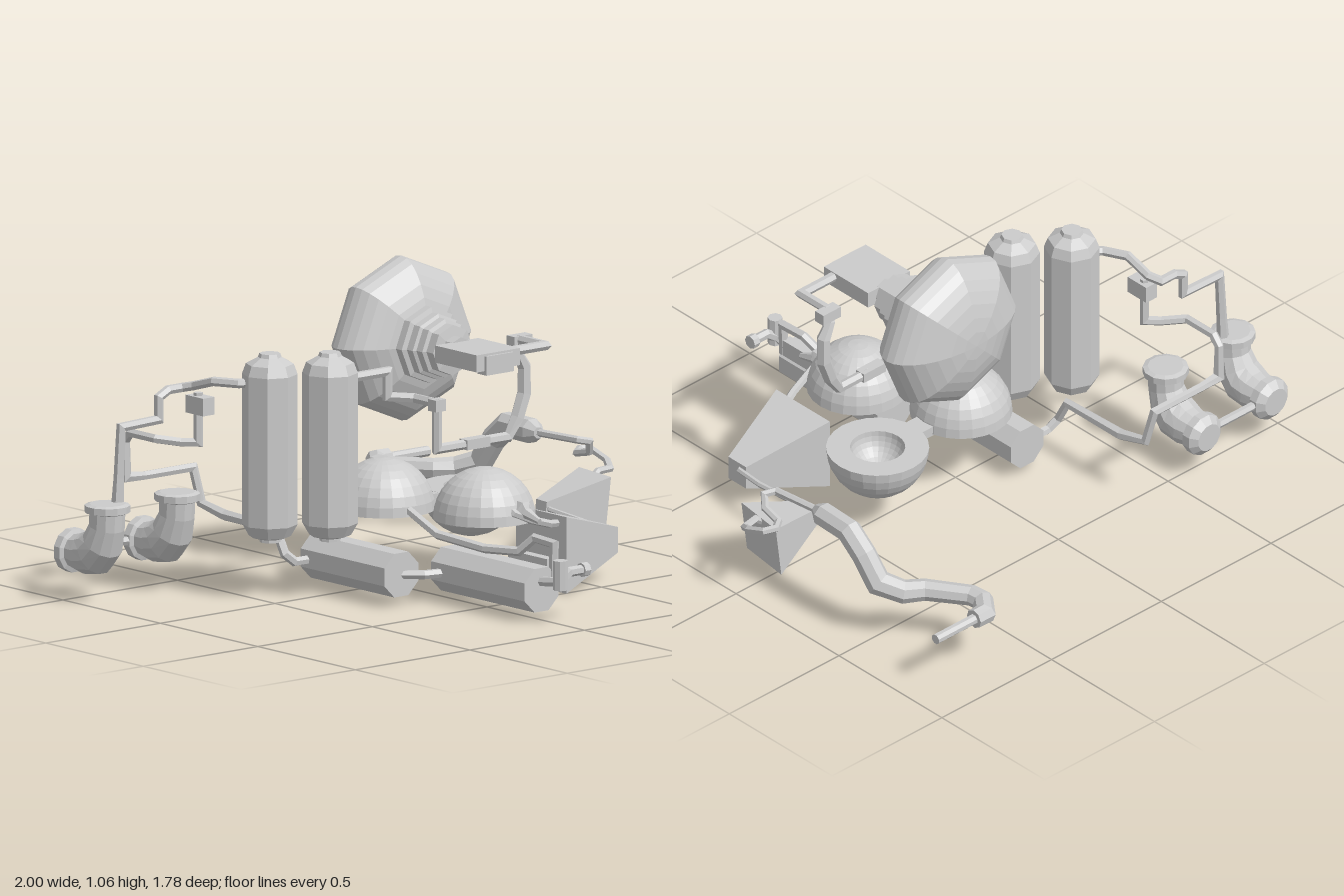
import * as THREE from 'three';

const material = new THREE.MeshStandardMaterial({ color: 0xcccccc, flatShading: true });

export function createModel() {
  const model = new THREE.Group();

  function add(name, geometry, x = 0, y = 0, z = 0) {
    const mesh = new THREE.Mesh(geometry, material);
    mesh.name = name;
    mesh.position.set(x, y, z);
    model.add(mesh);
    return mesh;
  }
  const box = (name, w, h, d, x, y, z) => add(name, new THREE.BoxGeometry(w, h, d), x, y, z);
  const lathe = (points, sides) =>
    new THREE.LatheGeometry(points.map(([r, y]) => new THREE.Vector2(r, y)), sides);

  // Mitred tube through [x, y, z, optional radius] points
  function pipe(name, points, radius = 0.016, sides = 6) {
    const p = points.map(a => new THREE.Vector3(a[0], a[1], a[2]));
    const position = [], index = [], n = p.length;
    const dirs = p.slice(1).map((q, i) => q.clone().sub(p[i]).normalize());
    let u = new THREE.Vector3(0, 1, 0);
    if (Math.abs(dirs[0].y) > 0.8) u.set(1, 0, 0);
    u.addScaledVector(dirs[0], -u.dot(dirs[0])).normalize();
    for (let i = 0; i < n; i++) {
      const d = dirs[Math.max(i - 1, 0)], next = dirs[Math.min(i, n - 2)];
      const t = d.clone().add(next).normalize();
      const v = d.clone().cross(u);
      const r = points[i][3] ?? radius;
      for (let k = 0; k < sides; k++) {
        const a = (k + 0.5) / sides * Math.PI * 2;
        const o = u.clone().multiplyScalar(Math.cos(a) * r).addScaledVector(v, Math.sin(a) * r);
        o.addScaledVector(d, -o.dot(t) / d.dot(t)).add(p[i]);
        position.push(o.x, o.y, o.z);
        const l = (k + 1) % sides, A = i * sides + k, B = i * sides + l;
        if (i < n - 1) index.push(A, B, B + sides, A, B + sides, A + sides);
        if (i === 0) index.push(n * sides, B, A);
        if (i === n - 1) index.push(n * sides + 1, A, B);
      }
      u.applyQuaternion(new THREE.Quaternion().setFromUnitVectors(d, next));
    }
    position.push(...p[0].toArray(), ...p[n - 1].toArray());
    const g = new THREE.BufferGeometry();
    g.setAttribute('position', new THREE.Float32BufferAttribute(position, 3));
    g.setIndex(index);
    g.computeVertexNormals();
    return add(name, g);
  }

  // Faceted balloon chamber with stepped neck, axis along z
  const oval = [];
  for (let i = 0; i <= 16; i++) {
    const a = -Math.PI / 2 + i / 16 * Math.PI;
    oval.push([Math.max(0.28 * Math.cos(a), 0), 0.142 * Math.sin(a)]);
  }
  add('balloonChamber', lathe(oval, 8), 0.2, 0.78, -0.175).rotation.x = Math.PI / 2;
  add('steppedNeck', lathe([[0.13, -0.08], [0.13, -0.02], [0.112, -0.015], [0.112, 0.015],
    [0.1, 0.02], [0.1, 0.05], [0.086, 0.055], [0.086, 0.09], [0.05, 0.095], [0.05, 0.13], [0, 0.13]], 8),
    0.2, 0.78, 0).rotation.x = Math.PI / 2;

  // Control box in front of the neck
  box('controlBox', 0.19, 0.058, 0.215, 0.19, 0.786, 0.228);
  box('controlBoxLatch', 0.12, 0.065, 0.045, 0.19, 0.775, 0.322);

  // Two upright tanks
  for (const [x, z] of [[-0.45, -0.085], [-0.285, 0.03]]) {
    add('tank', lathe([[0, 0.19], [0.035, 0.19], [0.035, 0.2], [0.07, 0.21], [0.093, 0.25], [0.093, 0.76],
      [0.08, 0.795], [0.04, 0.817], [0.035, 0.83], [0, 0.83]], 8), x, 0, z);
  }

  // Pipe from tank to the supporting loop and round to the box
  pipe('loopPipe', [[-0.22, 0.73, 0.03], [-0.035, 0.73, 0.03], [-0.035, 0.645, 0.03], [0.08, 0.625, 0.03],
    [0.08, 0.625, 0.15], [0.08, 0.47, 0.15], [0.2, 0.47, 0.15], [0.39, 0.47, 0.15, 0.018],
    [0.43, 0.53, 0.15, 0.025], [0.46, 0.61, 0.15, 0.026], [0.46, 0.7, 0.15, 0.024], [0.43, 0.755, 0.15],
    [0.43, 0.797, 0.17], [0.43, 0.797, 0.29], [0.27, 0.797, 0.29]], 0.017);
  box('loopJoint', 0.1, 0.034, 0.04, 0.245, 0.47, 0.15);
  box('loopUpperJoint', 0.08, 0.04, 0.04, 0.44, 0.79, 0.15);
  box('loopElbowJoint', 0.045, 0.04, 0.04, 0.08, 0.62, 0.15);

  // Hollow half spheres: two domes and one upturned bowl
  const half = [];
  for (let i = 0; i <= 8; i++) {
    const a = i / 8 * Math.PI / 2;
    half.push([0.092 * Math.sin(a), 0.092 * Math.cos(a)]);
  }
  for (let i = 0; i <= 8; i++) {
    const a = i / 8 * Math.PI / 2;
    half.push([Math.max(0.172 * Math.cos(a), 0), 0.172 * Math.sin(a)]);
  }
  add('rearDome', lathe(half, 24), -0.025, 0.26, 0);
  add('frontDome', lathe(half, 24), 0.13, 0.26, 0.335);
  add('bowl', lathe(half, 24), 0.355, 0.29, 0).rotation.x = Math.PI;
  box('bowlBridge', 0.15, 0.035, 0.08, 0.185, 0.272, 0);

  // Two lying canisters
  for (const [x, z0, z1] of [[-0.195, -0.14, 0.29], [0, 0.3, 0.78]]) {
    const g = new THREE.CylinderGeometry(0.08, 0.08, z1 - z0, 8);
    g.rotateY(Math.PI / 8).rotateX(Math.PI / 2);
    add('canister', g, x, 0.103, (z0 + z1) / 2);
  }
  pipe('canisterLink', [[-0.195, 0.1, 0.27], [-0.13, 0.1, 0.33], [-0.04, 0.1, 0.35]]);
  pipe('canisterNozzle', [[0, 0.13, 0.77], [0.01, 0.14, 0.86], [0.05, 0.17, 0.865], [0.12, 0.17, 0.865]], 0.017);
  const knob = add('nozzleKnob', new THREE.CylinderGeometry(0.024, 0.024, 0.025, 8), 0.113, 0.17, 0.865);
  knob.rotation.z = Math.PI / 2;
  add('nozzleCollar', new THREE.CylinderGeometry(0.025, 0.025, 0.1, 8), 0.008, 0.165, 0.868);
  pipe('canisterTopPipe', [[0.055, 0.14, 0.775], [0.055, 0.25, 0.78], [0.055, 0.255, 0.68], [0.03, 0.205, 0.63],
    [-0.01, 0.2, 0.5], [-0.045, 0.22, 0.3], [-0.05, 0.28, 0.16]]);
  box('canisterClamp', 0.035, 0.06, 0.2, 0.05, 0.17, 0.67);

  // Nozzle and hooked pipe on the front dome
  pipe('domeNozzle', [[0.16, 0.31, 0.46, 0.035], [0.16, 0.31, 0.5, 0.03], [0.16, 0.3, 0.51, 0.02],
    [0.165, 0.28, 0.575, 0.01]]);
  pipe('domePipe', [[0.12, 0.32, 0.46], [0.12, 0.3, 0.5], [0.19, 0.27, 0.5], [0.29, 0.24, 0.48], [0.36, 0.23, 0.45]], 0.014);

  // Tapered hoppers, axis along x; the second has a slanted mouth
  function hopper(name, x0, h0, x1, h1, y, z, slant) {
    const g = new THREE.BoxGeometry(1, 2, 2), p = g.attributes.position;
    for (let i = 0; i < p.count; i++) {
      const right = p.getX(i) > 0, h = right ? h1 : h0;
      const py = p.getY(i) * h, pz = p.getZ(i) * h;
      p.setXYZ(i, (right ? x1 : x0) + slant * (py - pz), y + py, z + pz);
    }
    g.computeVertexNormals();
    add(name, g);
  }
  hopper('largeHopper', 0.34, 0.13, 0.64, 0.043, 0.13, 0.378, 0);
  hopper('smallHopper', 0.655, 0.032, 0.88, 0.097, 0.163, 0.005, 0.13);
  pipe('hopperPipe', [[0.62, 0.15, 0.375], [0.645, 0.15, 0.36], [0.658, 0.155, 0.25], [0.658, 0.17, 0.05], [0.69, 0.17, 0]], 0.01);

  // Curled pipe rising from the small hopper to the thick hose
  pipe('curledPipe', [[0.86, 0.22, 0], [0.91, 0.26, 0], [0.97, 0.26, -0.01], [0.99, 0.28, -0.05],
    [0.985, 0.305, -0.12], [0.95, 0.31, -0.14], [0.91, 0.305, -0.11], [0.905, 0.32, -0.04], [0.89, 0.36, -0.02],
    [0.855, 0.367, -0.04], [0.83, 0.367, -0.24]], 0.013);
  pipe('thickHose', [[0.83, 0.367, -0.21, 0.02], [0.835, 0.367, -0.25, 0.043], [0.84, 0.367, -0.38, 0.043],
    [0.84, 0.31, -0.45, 0.043], [0.83, 0.22, -0.51, 0.043], [0.78, 0.195, -0.58, 0.04], [0.72, 0.195, -0.62, 0.037],
    [0.63, 0.195, -0.75, 0.035], [0.625, 0.195, -0.8, 0.035], [0.67, 0.195, -0.857, 0.035],
    [0.72, 0.195, -0.857, 0.034]], 0.04, 8);
  pipe('hoseTip', [[0.71, 0.195, -0.857], [0.895, 0.195, -0.857]], 0.018, 8);

  // Flanged elbow pots, mouth up and rounded cap to the back
  for (const x of [-0.925, -0.62]) {
    pipe('elbowPot', [[x, 0.34, -0.36, 0.06], [x, 0.335, -0.36, 0.077], [x, 0.312, -0.36, 0.077],
      [x, 0.308, -0.36, 0.06], [x, 0.26, -0.363, 0.06], [x, 0.2, -0.385, 0.07], [x, 0.165, -0.42, 0.075],
      [x, 0.155, -0.47, 0.07], [x, 0.155, -0.515, 0.06], [x, 0.155, -0.52, 0.075], [x, 0.155, -0.55, 0.075],
      [x, 0.155, -0.572, 0.05]], 0.07, 12);
  }
  pipe('potLink', [[-0.925, 0.155, -0.535], [-0.62, 0.155, -0.535]], 0.015);
  pipe('potFeed', [[-0.88, 0.33, -0.36, 0.022], [-0.875, 0.42, -0.36, 0.018], [-0.865, 0.59, -0.36],
    [-0.7, 0.595, -0.36], [-0.7, 0.67, -0.36], [-0.66, 0.69, -0.36], [-0.6, 0.69, -0.36], [-0.58, 0.7, -0.32],
    [-0.58, 0.73, -0.22], [-0.54, 0.73, -0.14], [-0.47, 0.73, -0.09]]);
  box('valveBlock', 0.05, 0.06, 0.09, -0.58, 0.64, -0.29);
  pipe('returnPipe', [[-0.58, 0.68, -0.3], [-0.58, 0.51, -0.3], [-0.62, 0.51, -0.34], [-0.68, 0.52, -0.4],
    [-0.68, 0.52, -0.53], [-0.68, 0.49, -0.555], [-0.68, 0.365, -0.555, 0.02], [-0.6, 0.36, -0.555],
    [-0.385, 0.36, -0.555], [-0.37, 0.24, -0.53], [-0.36, 0.215, -0.42, 0.02], [-0.36, 0.21, -0.16],
    [-0.355, 0.13, -0.12], [-0.32, 0.1, -0.11], [-0.25, 0.1, -0.11]]);
  return model;
}
